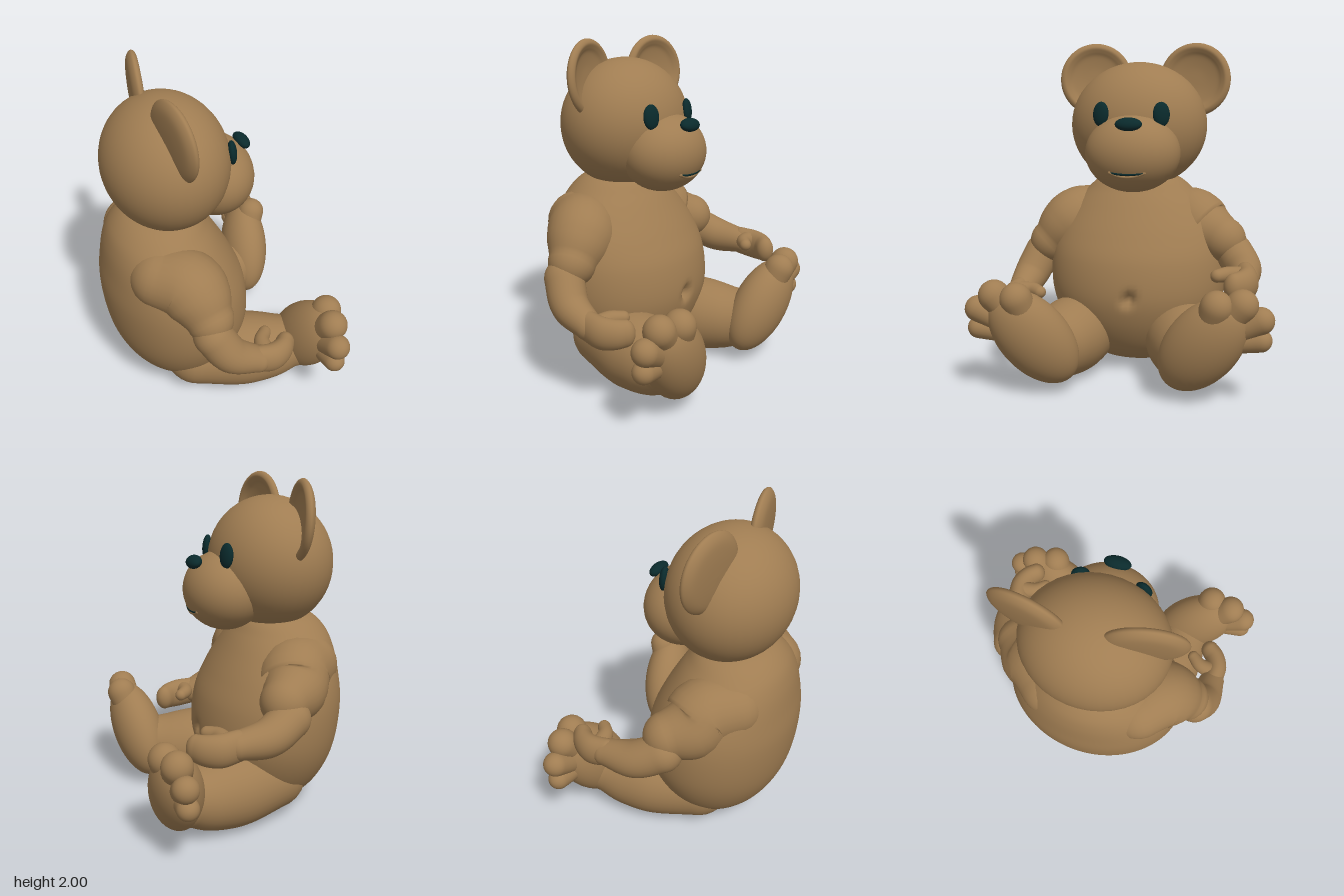
import * as THREE from 'three';
import { mergeVertices } from 'three/addons/utils/BufferGeometryUtils.js';

const V = (x, y, z) => new THREE.Vector3(x, y, z);

// Closed smooth skin over a list of equal-length rings
function skin(rings) {
  const n = rings[0].length, pos = [], index = [];
  rings.forEach(ring => ring.forEach(p => pos.push(p.x, p.y, p.z)));
  for (let i = 0; i < rings.length - 1; i++) {
    for (let j = 0; j < n; j++) {
      const a = i * n + j, b = i * n + (j + 1) % n;
      index.push(a, b, b + n, a, b + n, a + n);
    }
  }
  let g = new THREE.BufferGeometry();
  g.setAttribute('position', new THREE.Float32BufferAttribute(pos, 3));
  g.setIndex(index);
  g = mergeVertices(g, 1e-5);
  g.computeVertexNormals();
  return g;
}

// Round-ended limb through points [x, y, z, radius]
function limb(points, steps = 16, sides = 28) {
  const path = new THREE.CatmullRomCurve3(points.map(p => V(p[0], p[1], p[2])));
  const radii = new THREE.CatmullRomCurve3(points.map(p => V(p[3], 0, 0)), false, 'catmullrom');
  const f = path.computeFrenetFrames(steps);
  const rings = [];
  const ring = (i, shift, scale) => {
    const u = i / steps, r = radii.getPoint(path.getUtoTmapping(u)).x;
    const c = path.getPointAt(u).addScaledVector(f.tangents[i], shift * r);
    rings.push(Array.from({ length: sides }, (_, j) => {
      const a = j / sides * Math.PI * 2;
      return c.clone().addScaledVector(f.normals[i], Math.cos(a) * r * scale)
        .addScaledVector(f.binormals[i], Math.sin(a) * r * scale);
    }));
  };
  const caps = 8, q = Math.PI / 2 / caps;
  for (let k = 0; k < caps; k++) ring(0, -Math.cos(k * q), Math.sin(k * q));
  for (let i = 0; i <= steps; i++) ring(i, 0, 1);
  for (let k = caps - 1; k >= 0; k--) ring(steps, Math.cos(k * q), Math.sin(k * q));
  return skin(rings);
}

// Torso from cross-sections: y, back x, front x, half width
function torsoGeometry() {
  const rows = [
    [0.03, -0.23, -0.21, 0.001], [0.05, -0.36, -0.07, 0.19], [0.1, -0.44, 0.03, 0.3],
    [0.2, -0.535, 0.12, 0.41], [0.35, -0.61, 0.195, 0.5], [0.5, -0.645, 0.225, 0.545],
    [0.7, -0.66, 0.2, 0.55], [0.85, -0.645, 0.135, 0.515], [1.0, -0.62, 0.05, 0.43],
    [1.1, -0.58, -0.015, 0.34], [1.18, -0.5, -0.08, 0.24], [1.24, -0.3, -0.28, 0.001]];
  const back = new THREE.CatmullRomCurve3(rows.map(r => V(r[1], r[0], r[3])));
  const front = new THREE.CatmullRomCurve3(rows.map(r => V(r[2], r[0], r[3])));
  const rings = [], steps = 88, sides = 112;
  for (let i = 0; i <= steps; i++) {
    const b = back.getPoint(i / steps), f = front.getPoint(i / steps);
    rings.push(Array.from({ length: sides }, (_, j) => {
      const a = j / sides * Math.PI * 2, y = (b.y + f.y) / 2;
      const z = Math.max(0, (b.z + f.z) / 2) * Math.cos(a);
      let x = (b.x + f.x) / 2 + (f.x - b.x) / 2 * Math.sin(a);
      // navel dimple
      if (x > 0) x -= 0.06 * Math.exp(-(((y - 0.5) / 0.04) ** 2) - (z / 0.03) ** 2);
      return V(x, y, z - 0.02);
    }));
  }
  return skin(rings);
}

export function createModel() {
  const model = new THREE.Group();
  model.name = 'teddyBear';
  const fur = new THREE.MeshStandardMaterial({ color: 0xa07d52 });
  fur.name = 'brown fur';
  const dark = new THREE.MeshStandardMaterial({ color: 0x0a2a2c });
  dark.name = 'dark teal';

  const add = (name, geometry, material = fur, parent = model) => {
    const m = new THREE.Mesh(geometry, material);
    m.name = name;
    parent.add(m);
    return m;
  };
  const ball = new THREE.SphereGeometry(1, 40, 28);
  const blob = (name, p, r, material, parent) => {
    const m = add(name, ball, material, parent);
    m.position.set(...p);
    m.scale.set(...r);
    return m;
  };

  add('torso', torsoGeometry());

  // Head
  const head = new THREE.Group();
  head.name = 'head';
  model.add(head);
  blob('skull', [-0.243, 1.503, -0.02], [0.363, 0.386, 0.422], fur, head);
  blob('muzzle', [0.042, 1.35, -0.022], [0.24, 0.232, 0.283], fur, head);
  blob('nose', [0.226, 1.525, -0.025], [0.045, 0.036, 0.078], dark, head).rotation.z = -0.5;

  // Mouth follows the muzzle surface
  const smile = (dy, r) => limb([-0.1, -0.05, 0, 0.05, 0.1].map(z => {
    const y = 1.25 + dy * (1 - (z / 0.1) ** 2);
    const x = 0.042 + 0.24 * Math.sqrt(1 - ((y - 1.35) / 0.232) ** 2 - (z / 0.283) ** 2);
    return [x - 0.004, y, z - 0.018, r];
  }), 20, 10);
  add('mouth', smile(-0.008, 0.008), dark, head);
  add('lowerLip', smile(-0.024, 0.01), fur, head);

  // Dished ear, turned about its axis
  const earProfile = new THREE.SplineCurve([
    [0, -0.04], [0.1, -0.037], [0.18, -0.026], [0.221, 0], [0.219, 0.022],
    [0.197, 0.034], [0.172, 0.024], [0.14, 0.008], [0.07, -0.004], [0, -0.006]
  ].map(p => new THREE.Vector2(...p))).getPoints(40);
  earProfile.forEach(p => { p.x = Math.max(0, p.x); });
  const earGeometry = new THREE.LatheGeometry(earProfile, 48);

  for (const s of [1, -1]) {
    const side = s > 0 ? 'near' : 'far';
    const ear = add(side + 'Ear', earGeometry, fur, head);
    ear.position.set(-0.288, 1.78, -0.052 + s * 0.31);
    ear.rotation.set(0, s * 0.18, -Math.PI / 2 + 0.07);
    blob(side + 'Eye', [0.088, 1.578, -0.018 + s * 0.178], [0.027, 0.072, 0.05], dark, head)
      .rotation.set(0, -s * 0.35, 0.1);

    // Arm: the far one is raised and reaches further forward
    const arm = new THREE.Group();
    arm.name = side + 'Arm';
    model.add(arm);
    const w = s > 0 ? [0.045, 0.485, 0.68] : [0.2, 0.66, 0.695];
    const e = s > 0 ? [-0.2, 0.69, 0.6] : [-0.13, 0.74, 0.62];
    const mid = s > 0 ? [-0.11, 0.56, 0.655] : [0.02, 0.675, 0.68];
    add('upperArm', limb([[-0.38, 0.92, s * 0.27, 0.185], [-0.26, 0.9, s * 0.37, 0.207],
      [-0.22, 0.84, s * 0.455, 0.19],
      [e[0] + 0.005, e[1] + 0.075, s * (e[2] - 0.065), 0.14]]), fur, arm);
    add('forearm', limb([[e[0], e[1], s * e[2], 0.115],
      [mid[0], mid[1], s * mid[2], 0.108],
      [w[0], w[1], s * w[2], 0.08]]), fur, arm);
    const hand = new THREE.Group();
    hand.name = 'hand';
    hand.position.set(w[0], w[1], s * w[2]);
    arm.add(hand);
    add('mitten', limb([[0, 0, 0, 0.064], [0.1, -0.008, s * 0.008, 0.067],
      [0.17, -0.008, s * -0.02, 0.062], [0.21, -0.006, s * -0.06, 0.056]]), fur, hand).scale.y = 1.4;
    add('thumb', limb([[0.06, 0.02, s * -0.02, 0.055], [0.075, 0.03, s * -0.1, 0.045],
      [0.12, 0.03, s * -0.155, 0.037]]), fur, hand);

    // Leg
    const leg = new THREE.Group();
    leg.name = side + 'Leg';
    model.add(leg);
    add('thigh', limb([[-0.17, 0.245, s * 0.275, 0.205], [0.09, 0.238, s * 0.342, 0.231],
      [0.27, 0.24, s * 0.39, 0.207], [0.4, 0.26, s * 0.425, 0.167]], 20, 36), fur, leg);
    const ankle = V(0.48, 0.342, s * 0.475);
    const foot = blob('foot', ankle.toArray(), [0.155, 0.322, 0.2], fur, leg);
    const long = V(0.18, 0.77, s * 0.6).normalize();
    const across = V(1, 0, 0).addScaledVector(long, -long.x).normalize();
    foot.quaternion.setFromRotationMatrix(
      new THREE.Matrix4().makeBasis(across, long, across.clone().cross(long)));
    // Toes run back into the foot
    [[0.562, 0.578, 0.55, 0.09], [0.53, 0.585, 0.685, 0.088],
      [0.515, 0.502, 0.785, 0.074], [0.505, 0.39, 0.785, 0.063]].forEach(([x, y, z, r], i) => {
      const root = V(x, y, s * z).lerp(ankle, 0.4);
      add('toe' + (i + 1), limb([[x, y, s * z, r], [...root.toArray(), r * 0.95]], 6, 24), fur, leg);
    });
  }
  return model;
}
